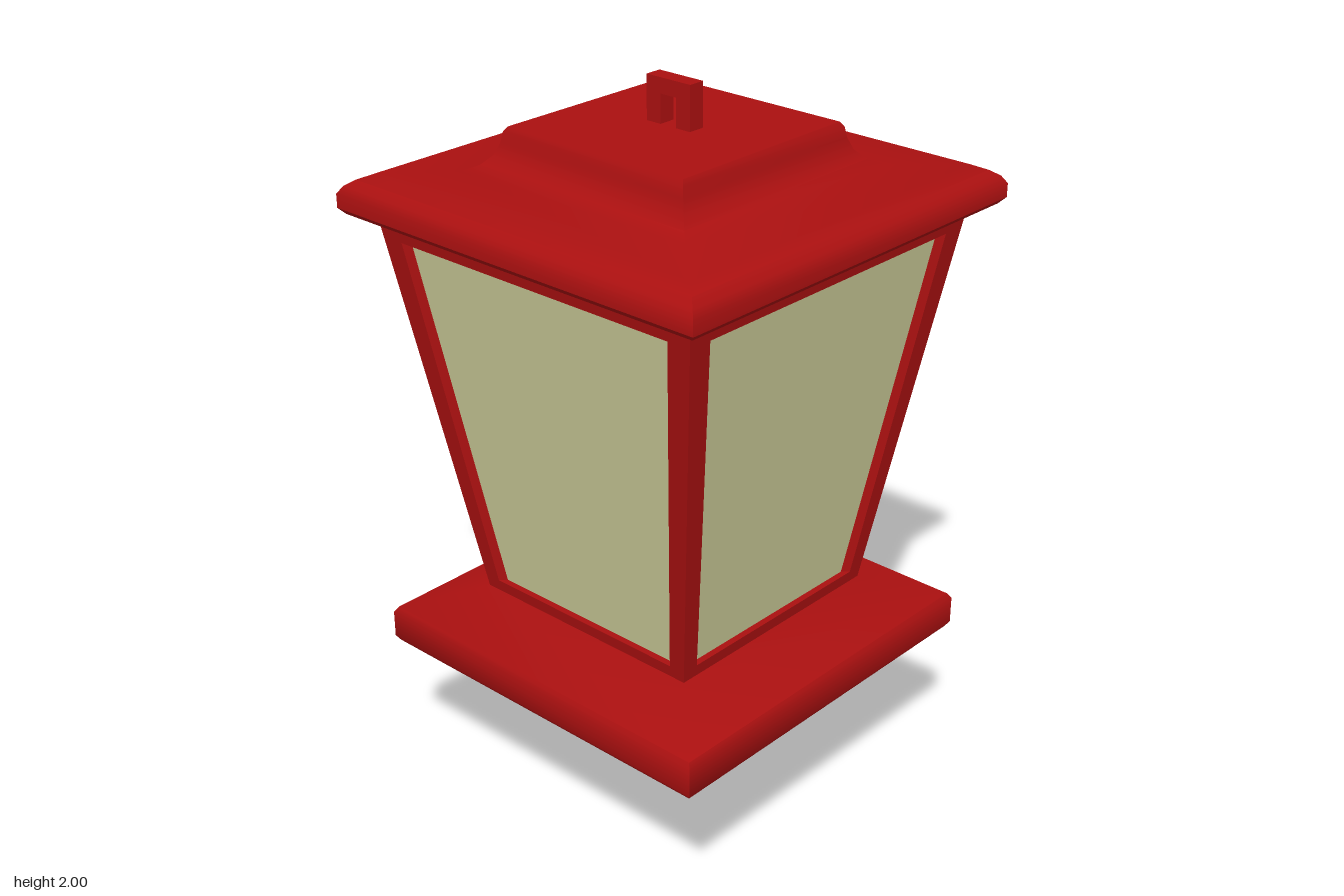
import * as THREE from 'three';
import { toCreasedNormals } from 'three/addons/utils/BufferGeometryUtils.js';

const red = new THREE.MeshStandardMaterial({ color: 0xaa1010 });
const glass = new THREE.MeshStandardMaterial({ color: 0xcccb98, side: THREE.DoubleSide });

// Square moulding: profile of [half width, y], bottom to top
function squareTurned(name, profile) {
  const points = profile.map(([r, y]) => new THREE.Vector2(r * Math.SQRT2, y));
  const geometry = new THREE.LatheGeometry(points, 4).rotateY(Math.PI / 4);
  const mesh = new THREE.Mesh(toCreasedNormals(geometry, 0.6), red);
  mesh.name = name;
  return mesh;
}

// Half width of the tapered lantern body at height y
const bodyHalf = (y) => 0.35 + (y - 0.61) * 0.154;

function trapezoid(Type, y0, half0, y1, half1) {
  return new Type([[-half0, y0], [half0, y0], [half1, y1], [-half1, y1]]
    .map(([x, y]) => new THREE.Vector2(x, y)));
}

// Lean a flat side outwards to the body slope; back edges are mitred
function lean(geometry, depth) {
  const p = geometry.attributes.position;
  for (let i = 0; i < p.count; i++) {
    const half = bodyHalf(p.getY(i));
    const inset = depth - p.getZ(i);
    p.setXYZ(i, p.getX(i) * (half - inset) / half, p.getY(i), half - inset);
  }
  geometry.computeVertexNormals();
  return geometry;
}

export function createModel() {
  const model = new THREE.Group();

  // Pointed finial and bracket below the base
  model.add(squareTurned('finial', [
    [0, 0], [0.02, 0], [0.15, 0.185], [0.155, 0.2], [0.155, 0.235],
    [0.147, 0.246], [0.132, 0.255], [0.132, 0.295], [0.15, 0.316],
  ]));
  model.add(squareTurned('bracket', [[0, 0.315], [0.255, 0.315], [0.325, 0.446]]));

  // Base slab with sloped top
  model.add(squareTurned('base', [
    [0, 0.445], [0.525, 0.445], [0.535, 0.46], [0.535, 0.535],
    [0.525, 0.55], [0.35, 0.612], [0, 0.612],
  ]));

  // Four framed panes
  const frameDepth = 0.03;
  const outline = trapezoid(THREE.Shape, 0.61, bodyHalf(0.61), 1.66, bodyHalf(1.66));
  outline.holes.push(trapezoid(THREE.Path, 0.645, 0.308, 1.61, 0.438));
  const frameGeometry = lean(
    new THREE.ExtrudeGeometry(outline, { depth: frameDepth, bevelEnabled: false }), frameDepth);
  const paneGeometry = lean(new THREE.ShapeGeometry(
    trapezoid(THREE.Shape, 0.63, 0.33, 1.63, 0.46)), 0.018);
  for (let i = 0; i < 4; i++) {
    const side = new THREE.Group();
    side.name = 'lanternSide' + (i + 1);
    const frame = new THREE.Mesh(frameGeometry, red);
    frame.name = 'frame';
    const pane = new THREE.Mesh(paneGeometry, glass);
    pane.name = 'pane';
    side.add(frame, pane);
    side.rotation.y = i * Math.PI / 2;
    model.add(side);
  }

  // Roof: cove, rounded eave, concave step and flat cap
  model.add(squareTurned('roof', [
    [0, 1.635], [0.505, 1.635], [0.508, 1.65], [0.52, 1.66], [0.545, 1.668],
    [0.565, 1.67], [0.58, 1.686], [0.58, 1.722], [0.567, 1.742], [0.545, 1.757],
    [0.512, 1.772], [0.365, 1.775], [0.332, 1.79], [0.308, 1.815],
    [0.296, 1.845], [0.291, 1.872], [0.282, 1.885], [0, 1.885],
  ]));

  // Hanging loop
  const loop = new THREE.Shape([
    [-0.07, 1.88], [-0.025, 1.88], [-0.025, 1.96], [0.025, 1.96],
    [0.025, 1.88], [0.07, 1.88], [0.07, 2], [-0.07, 2],
  ].map(([x, y]) => new THREE.Vector2(x, y)));
  const loopMesh = new THREE.Mesh(
    new THREE.ExtrudeGeometry(loop, { depth: 0.046, bevelEnabled: false }).translate(0, 0, -0.024), red);
  loopMesh.name = 'hangingLoop';
  model.add(loopMesh);

  return model;
}
